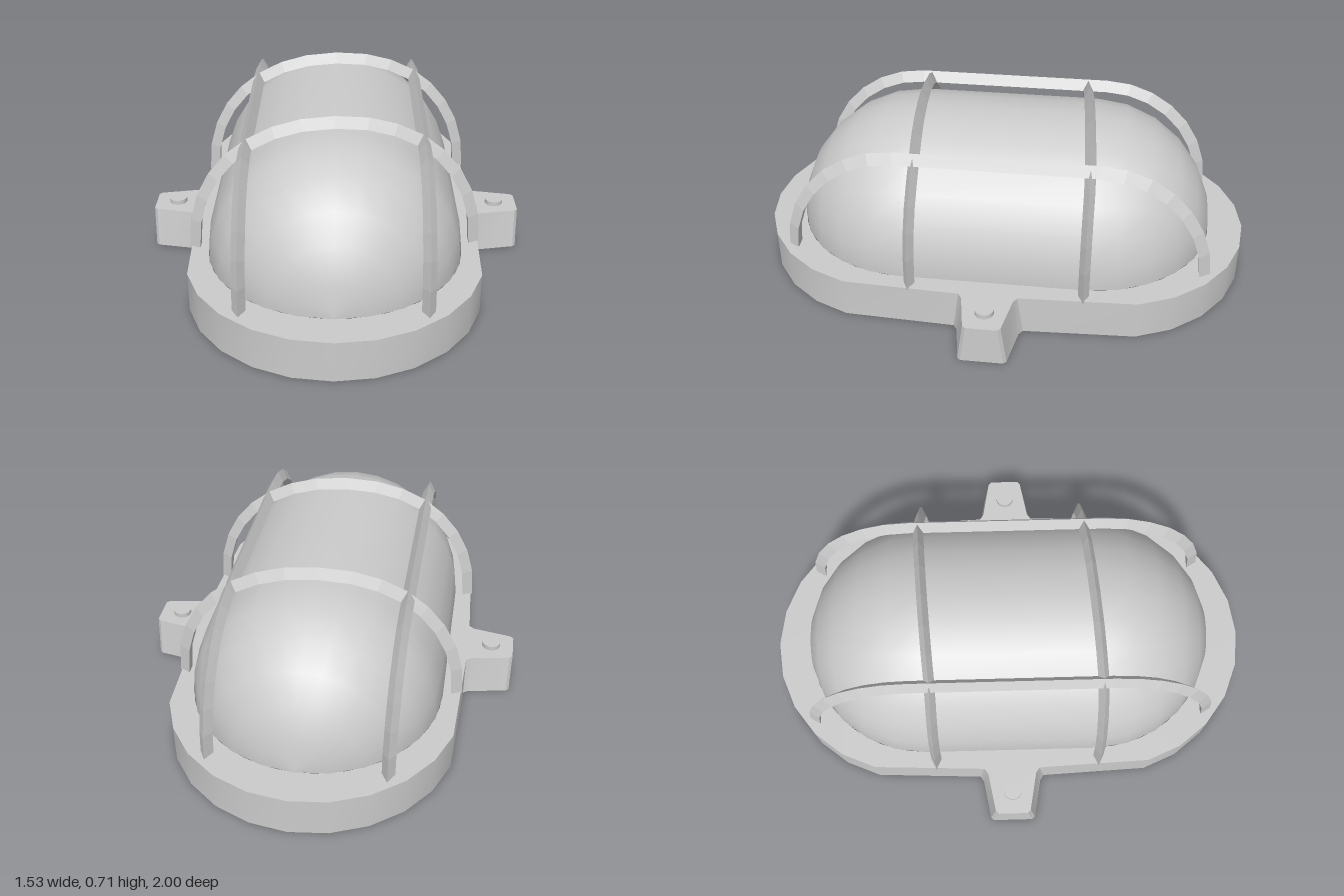
import * as THREE from 'three';
import { toCreasedNormals } from 'three/addons/utils/BufferGeometryUtils.js';

const RIM = 0.163; // height of the base plate
const grey = (extra = {}) => new THREE.MeshStandardMaterial({ color: 0xcccccc, ...extra });

function addMesh(parent, name, geometry, material) {
  const mesh = new THREE.Mesh(geometry, material);
  mesh.name = name;
  parent.add(mesh);
  return mesh;
}

function geometryFrom(positions, index) {
  const g = new THREE.BufferGeometry();
  g.setAttribute('position', new THREE.Float32BufferAttribute(positions, 3));
  g.setIndex(index);
  g.computeVertexNormals();
  return g;
}

// Plan outline [x, z] of the base with its two lugs; flare widens the lugs
function baseOutline(flare) {
  const quarter = [[0.767, 0.06 + flare], [0.755, 0.072 + flare], [0.6, 0.1 + flare], [0.578, 0.115 + flare]];
  for (let i = 1; i <= 6; i++) {
    const a = i * Math.PI / 12;
    quarter.push([0.578 * Math.cos(a), 0.425 + 0.575 * Math.sin(a)]);
  }
  const half = [...quarter, ...quarter.slice(0, -1).reverse().map(([x, z]) => [-x, z])];
  return [...half, ...half.map(([x, z]) => [-x, -z])];
}

// Thin side wall, open underneath
function wallGeometry() {
  const top = baseOutline(0), bottom = baseOutline(0.022);
  const positions = [], index = [], n = top.length;
  for (let i = 0; i < n; i++) {
    positions.push(bottom[i][0], 0, bottom[i][1], top[i][0], RIM, top[i][1]);
    const a = 2 * i, b = 2 * ((i + 1) % n);
    index.push(a, a + 1, b, a + 1, b + 1, b);
  }
  return toCreasedNormals(geometryFrom(positions, index), 0.5);
}

// Flat plate with a long round opening for the dome
function plateGeometry() {
  const shape = new THREE.Shape(baseOutline(0).map(([x, z]) => new THREE.Vector2(x, z)));
  const hole = new THREE.Path();
  hole.absarc(0, 0.36, 0.498, 0, Math.PI);
  hole.absarc(0, -0.36, 0.498, Math.PI, 2 * Math.PI);
  shape.holes.push(hole);
  return new THREE.ShapeGeometry(shape, 12).rotateX(Math.PI / 2).translate(0, RIM, 0);
}

// Half capsule lying along z
function domeGeometry() {
  const profile = [];
  for (const end of [-1, 1]) {
    for (let i = 0; i <= 6; i++) {
      const a = (end < 0 ? 6 - i : i) * Math.PI / 12;
      profile.push(new THREE.Vector2(0.5 * Math.cos(a), end * (0.36 + 0.5 * Math.sin(a))));
    }
  }
  return new THREE.LatheGeometry(profile, 14, Math.PI / 2, Math.PI)
    .rotateX(Math.PI / 2).translate(0, RIM, 0);
}

// Triangular bar along an arch [u, y] from +u to -u: ridge outside, flat inside
function barGeometry(path, place) {
  const positions = [], index = [], n = path.length;
  path.forEach(([u, y], i) => {
    const p = path[Math.max(i - 1, 0)], q = path[Math.min(i + 1, n - 1)];
    const t = new THREE.Vector2(q[0] - p[0], q[1] - p[1]).normalize();
    const iu = u - t.y * 0.043, iy = y + t.x * 0.043;
    positions.push(...place(u, y, 0), ...place(iu, iy, 0.025), ...place(iu, iy, -0.025));
    for (let k = 0; k < 3 && i < n - 1; k++) {
      const a = 3 * i + k, b = 3 * i + (k + 1) % 3;
      index.push(a, b, a + 3, b, b + 3, a + 3);
    }
  });
  const e = 3 * (n - 1);
  index.push(0, 2, 1, e, e + 1, e + 2);
  return geometryFrom(positions, index);
}

export function createModel() {
  const model = new THREE.Group();

  const base = new THREE.Group();
  base.name = 'base';
  model.add(base);
  addMesh(base, 'baseWall', wallGeometry(), grey({ side: THREE.DoubleSide }));
  addMesh(base, 'basePlate', plateGeometry(), grey({ side: THREE.DoubleSide }));
  addMesh(model, 'dome', domeGeometry(), grey({ side: THREE.DoubleSide }));

  // One screw on each lug
  for (const side of [-1, 1]) {
    const screw = addMesh(model, side > 0 ? 'leftScrew' : 'rightScrew',
      new THREE.CylinderGeometry(0.037, 0.037, 0.03, 16), grey({ flatShading: true }));
    screw.position.set(side * 0.675, 0.167, 0);
  }

  // Guard cage
  const cage = new THREE.Group();
  cage.name = 'guardCage';
  model.add(cage);
  const barMaterial = grey({ flatShading: true, side: THREE.DoubleSide });

  // Lengthwise bars: quarter arcs joined by a straight run
  const longArch = [];
  for (const end of [1, -1]) {
    for (let i = 0; i <= 7; i++) {
      const a = (end > 0 ? i : 7 - i) * Math.PI / 14;
      longArch.push([end * (0.4 + 0.453 * Math.cos(a)), 0.158 + 0.477 * Math.sin(a)]);
    }
  }
  for (const side of [-1, 1]) {
    addMesh(cage, side > 0 ? 'leftLongBar' : 'rightLongBar',
      barGeometry(longArch, (u, y, w) => [side * 0.34 + w, y, u]), barMaterial);
  }

  // Crosswise bars: full round arches, slightly skewed across the dome
  const crossArch = [];
  for (let i = 0; i <= 16; i++) {
    const a = i * Math.PI / 16, c = Math.cos(a);
    crossArch.push([0.575 * Math.sign(c) * Math.abs(c) ** 0.91, 0.158 + 0.557 * Math.abs(Math.sin(a)) ** 0.91]);
  }
  for (const side of [-1, 1]) {
    const skew = (x) => -0.024 * THREE.MathUtils.clamp(x / 0.35, -1, 1);
    addMesh(cage, side > 0 ? 'frontCrossBar' : 'backCrossBar',
      barGeometry(crossArch, (u, y, w) => [u, y, side * 0.34 + skew(u) - w * 0.85]), barMaterial);
  }

  return model;
}
